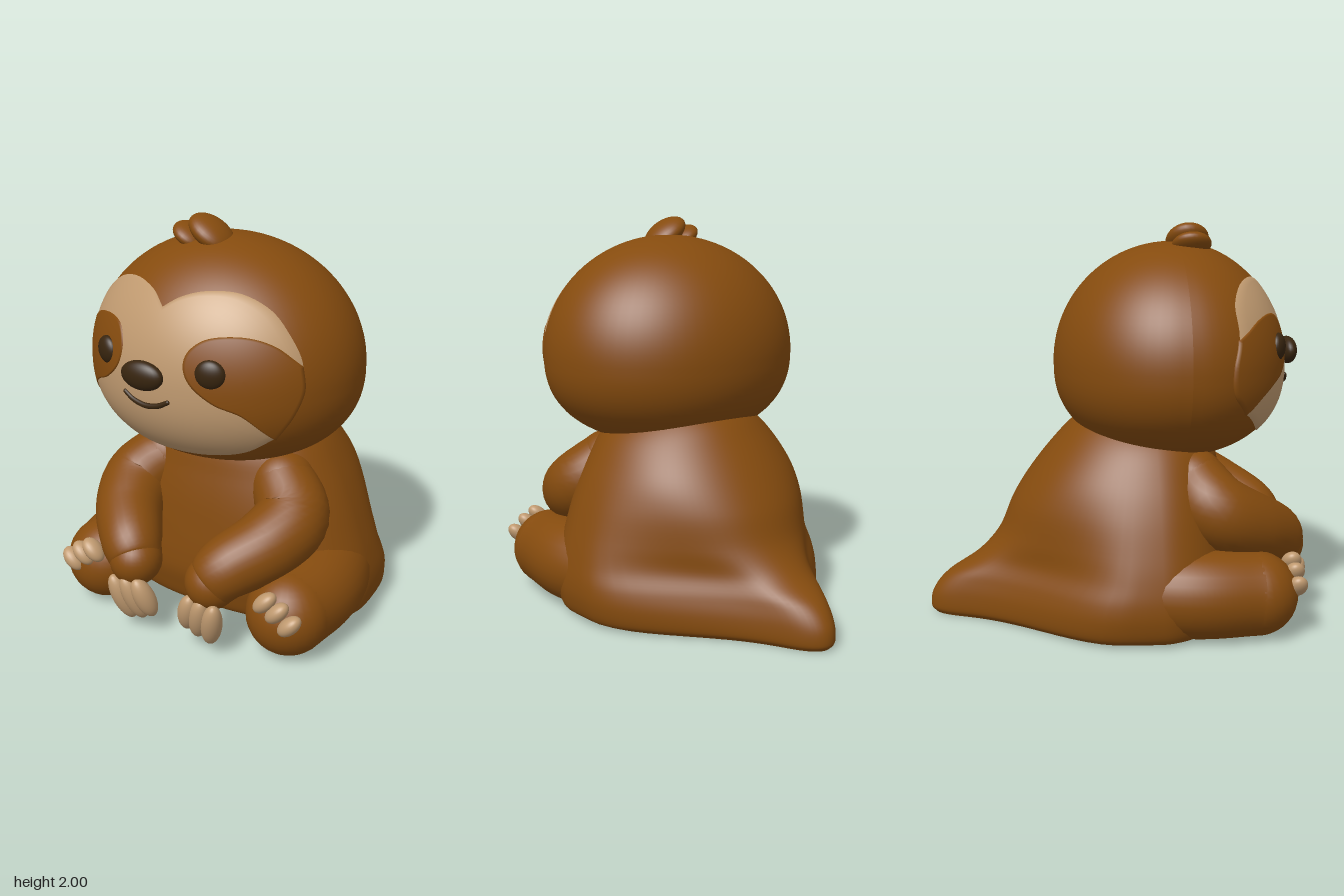
import * as THREE from 'three';
import { mergeGeometries } from 'three/addons/utils/BufferGeometryUtils.js';

const material = (name, color) => Object.assign(new THREE.MeshStandardMaterial({ color }), { name });

// Smooth surface from rows of points; columns wrap round
function grid(rows, cols, point) {
  const pos = [], index = [];
  for (let i = 0; i <= rows; i++)
    for (let j = 0; j < cols; j++) pos.push(...point(i, j));
  for (let i = 0; i < rows; i++)
    for (let j = 0; j < cols; j++) {
      const a = i * cols + j, b = i * cols + (j + 1) % cols, c = a + cols, d = b + cols;
      index.push(a, c, b, b, c, d);
    }
  const g = new THREE.BufferGeometry();
  g.setAttribute('position', new THREE.Float32BufferAttribute(pos, 3));
  g.setIndex(index);
  g.computeVertexNormals();
  return g;
}

const spline = (pts) =>
  new THREE.CatmullRomCurve3(pts.map((p) => new THREE.Vector3(...p)), false, 'catmullrom', 0.5);

// Round limb through [x, y, z, radius] points, with ball ends
function limb(points, rows = 28, cols = 28) {
  const path = spline(points.map((p) => p.slice(0, 3)));
  const radius = spline(points.map((p) => [p[3], 0, 0]));
  const up = new THREE.Vector3(0, 1, 0);
  const tube = grid(rows, cols, (i, j) => {
    const t = i / rows, a = -j / cols * Math.PI * 2, r = radius.getPoint(t).x;
    const tangent = path.getTangent(t);
    const n = tangent.clone().cross(up).normalize(), b = tangent.clone().cross(n);
    return path.getPoint(t).addScaledVector(n, r * Math.cos(a)).addScaledVector(b, r * Math.sin(a)).toArray();
  });
  const balls = [points[0], points[points.length - 1]].map(([x, y, z, r]) => {
    const ball = new THREE.SphereGeometry(r, 28, 20).translate(x, y, z);
    ball.deleteAttribute('uv');
    return ball;
  });
  return mergeGeometries([tube, ...balls]);
}

// Head: an egg with a different radius in each direction
const HEAD = new THREE.Vector3(-0.01, 1.3, 0.3);
const WIDE = 0.69, UP = 0.61, DOWN = 0.485, FRONT = 0.565, BACK = 0.61, CHIN = 2.45;

function headGeometry() {
  const g = new THREE.SphereGeometry(1, 72, 56), p = g.attributes.position;
  for (let i = 0; i < p.count; i++) {
    const x = p.getX(i), y = p.getY(i), z = p.getZ(i);
    p.setXYZ(i, HEAD.x + x * WIDE,
      HEAD.y + (y > 0 ? y * UP : -Math.pow(-y, 2 / CHIN) * DOWN),
      HEAD.z + z * (z > 0 ? FRONT : BACK));
  }
  g.computeVertexNormals();
  return g;
}

// Point on the front of the head, pushed outwards by factor k
function onFace(x, y, k = 1) {
  const u = (x - HEAD.x) / WIDE, dy = y - HEAD.y;
  const v = dy > 0 ? (dy / UP) ** 2 : (-dy / DOWN) ** CHIN;
  const z = HEAD.z + FRONT * Math.sqrt(Math.max(0, 1 - u * u - v));
  return new THREE.Vector3(x, y, z).sub(HEAD).multiplyScalar(k).add(HEAD);
}

// Raised patch following the face; each run of points is smooth, runs meet in corners
function facePatch(runs, [cx, cy], k) {
  const shape = new THREE.Shape();
  shape.moveTo(...runs[0][0]);
  runs.forEach((run, i) =>
    shape.splineThru((i ? run : run.slice(1)).map((p) => new THREE.Vector2(...p))));
  const outline = shape.getPoints(6);
  if (outline[0].distanceTo(outline[outline.length - 1]) < 1e-4) outline.pop();
  const rows = 20;
  return grid(rows, outline.length, (i, j) => {
    const t = Math.min(1, i / (rows - 1)), o = outline[j];
    return onFace(cx + (o.x - cx) * t, cy + (o.y - cy) * t, i === rows ? 0.99 : k).toArray();
  });
}

// Torso slices: height, half width, front z, back z, tail taper
const SLICES = [
  [0, 0.65, 0.5, -0.935, 0.6], [0.035, 0.71, 0.55, -0.96, 0.6], [0.12, 0.735, 0.58, -0.945, 0.6],
  [0.21, 0.735, 0.6, -0.87, 0.56], [0.31, 0.715, 0.6, -0.71, 0.42], [0.43, 0.68, 0.59, -0.60, 0.22],
  [0.6, 0.62, 0.57, -0.525, 0.08], [0.75, 0.55, 0.54, -0.43, 0], [0.9, 0.455, 0.5, -0.31, 0],
  [1.01, 0.34, 0.4, -0.2, 0], [1.12, 0.2, 0.32, -0.02, 0],
];

function torsoGeometry() {
  const sizes = spline(SLICES.map((s) => [s[0], s[1], s[2]]));
  const backs = spline(SLICES.map((s) => [s[3], s[4], 0]));
  const rows = 60, cols = 96, mid = 0.17;
  return grid(rows, cols, (i, j) => {
    const { x: y, y: w, z: front } = sizes.getPoint(i / rows);
    const { x: back, y: taper } = backs.getPoint(i / rows);
    const a = j / cols * Math.PI * 2, c = Math.abs(Math.cos(a)), s = Math.sin(a);
    const side = Math.sign(Math.cos(a)) * w;
    if (s >= 0) return [side * Math.pow(c, 0.85), y, mid + (front - mid) * s];
    const pinch = 1 - taper * THREE.MathUtils.smoothstep(-s, 0.17, 0.9);
    return [side * c * pinch - 0.06 * s * s * taper, y, mid + (mid - back) * s];
  });
}

// Flat underside closing the lowest ring of the torso
function baseGeometry(torso, cols = 96) {
  const p = torso.attributes.position;
  return grid(1, cols, (i, j) => (i ? [p.getX(j), 0, p.getZ(j)] : [0, 0, 0.1]));
}

export function createModel() {
  const group = new THREE.Group();
  group.name = 'sloth';
  const fur = material('brown fur', 0x854b0e);
  const cream = material('cream', 0xc09a70);
  const dark = material('dark brown', 0x38250f);

  const add = (name, geometry, mat) => {
    const mesh = new THREE.Mesh(geometry, mat);
    mesh.name = name;
    group.add(mesh);
    return mesh;
  };
  const ball = (name, mat, position, radii, rotation = [0, 0, 0]) => {
    const mesh = add(name, new THREE.SphereGeometry(1, 28, 20), mat);
    mesh.position.set(...position);
    mesh.scale.set(...radii);
    mesh.rotation.set(...rotation);
  };

  // Torso with tail
  const torso = torsoGeometry();
  add('torso', torso, fur);
  add('base', baseGeometry(torso), fur);

  // Head and hair tuft
  add('head', headGeometry(), fur);
  ball('largeTuft', fur, [-0.045, 1.915, 0.37], [0.125, 0.06, 0.11], [0, 0, -0.6]);
  ball('smallTuft', fur, [-0.155, 1.893, 0.375], [0.095, 0.047, 0.1], [0, 0, -0.55]);

  // Heart-topped face mask
  add('faceMask', facePatch([
    [[-0.06, 1.65], [-0.15, 1.71], [-0.28, 1.732], [-0.42, 1.70], [-0.54, 1.61], [-0.61, 1.47],
      [-0.645, 1.34], [-0.635, 1.2], [-0.565, 1.1]],
    [[-0.42, 1.02], [-0.25, 0.97], [-0.05, 0.955], [0.15, 0.965], [0.32, 1.005], [0.455, 1.09]],
    [[0.53, 1.2], [0.565, 1.32], [0.555, 1.45], [0.49, 1.57], [0.4, 1.665], [0.27, 1.725],
      [0.13, 1.73], [0.02, 1.70], [-0.06, 1.65]],
  ], [-0.05, 1.35], 1.012), cream);

  // Drooping eye patches
  add('rightEyePatch', facePatch([
    [[-0.62, 1.455], [-0.655, 1.33], [-0.645, 1.2], [-0.57, 1.1]],
    [[-0.53, 1.175], [-0.46, 1.23], [-0.36, 1.28], [-0.275, 1.36], [-0.25, 1.46], [-0.29, 1.54],
      [-0.39, 1.56], [-0.51, 1.53], [-0.62, 1.455]],
  ], [-0.46, 1.38], 1.018), fur);
  add('leftEyePatch', facePatch([
    [[0.46, 1.085], [0.535, 1.2], [0.573, 1.32], [0.56, 1.43]],
    [[0.46, 1.52], [0.34, 1.56], [0.2, 1.55], [0.12, 1.495], [0.1, 1.42], [0.14, 1.34],
      [0.24, 1.265], [0.36, 1.21], [0.46, 1.085]],
  ], [0.36, 1.38], 1.018), fur);

  // Eyes, nose and smile
  ball('rightEye', dark, onFace(-0.375, 1.402).toArray(), [0.069, 0.068, 0.037], [0, -0.4, 0]);
  ball('leftEye', dark, onFace(0.225, 1.4).toArray(), [0.072, 0.068, 0.037], [0, 0.25, 0]);
  ball('nose', dark, [-0.1, 1.358, 0.885], [0.112, 0.07, 0.045]);
  add('mouth', limb([[-0.225, 1.247, 0.011], [-0.17, 1.22, 0.013], [-0.1, 1.208, 0.014],
    [-0.03, 1.22, 0.013], [0.025, 1.247, 0.011]]
    .map(([x, y, r]) => [...onFace(x, y, 1.013).toArray(), r])), dark);

  for (const [side, s] of [['left', 1], ['right', -1]]) {
    const mirror = (pts) => pts.map(([x, ...rest]) => [x * s, ...rest]);

    // Legs stretched forwards
    add(side + 'Leg', limb(mirror([
      [0.43, 0.22, -0.05, 0.21], [0.55, 0.217, 0.33, 0.217], [0.535, 0.207, 0.65, 0.207],
    ])), fur);

    // Arms resting in front
    add(side + 'Arm', limb(mirror([
      [0.34, 0.73, 0.365, 0.165], [0.445, 0.605, 0.465, 0.183], [0.4, 0.52, 0.63, 0.171],
      [0.28, 0.44, 0.783, 0.153], [0.22, 0.368, 0.833, 0.13],
    ])), fur);

    // Long finger claws
    [[0.258, 0.18, 0.135], [0.19, 0.195, 0.13], [0.128, 0.21, 0.115]].forEach(([x, y, length], i) =>
      ball(`${side}FingerClaw${i + 1}`, cream, [x * s, y, 0.9], [0.052, length, 0.052], [0.3, 0, -0.26 * s]));

    // Short toe claws
    [[0.495, 0.345], [0.56, 0.31], [0.625, 0.26]].forEach(([x, y], i) =>
      ball(`${side}ToeClaw${i + 1}`, cream, [x * s + 0.015, y, 0.838], [0.04, 0.07, 0.05], [0, 0, -0.8 * s]));
  }
  return group;
}
